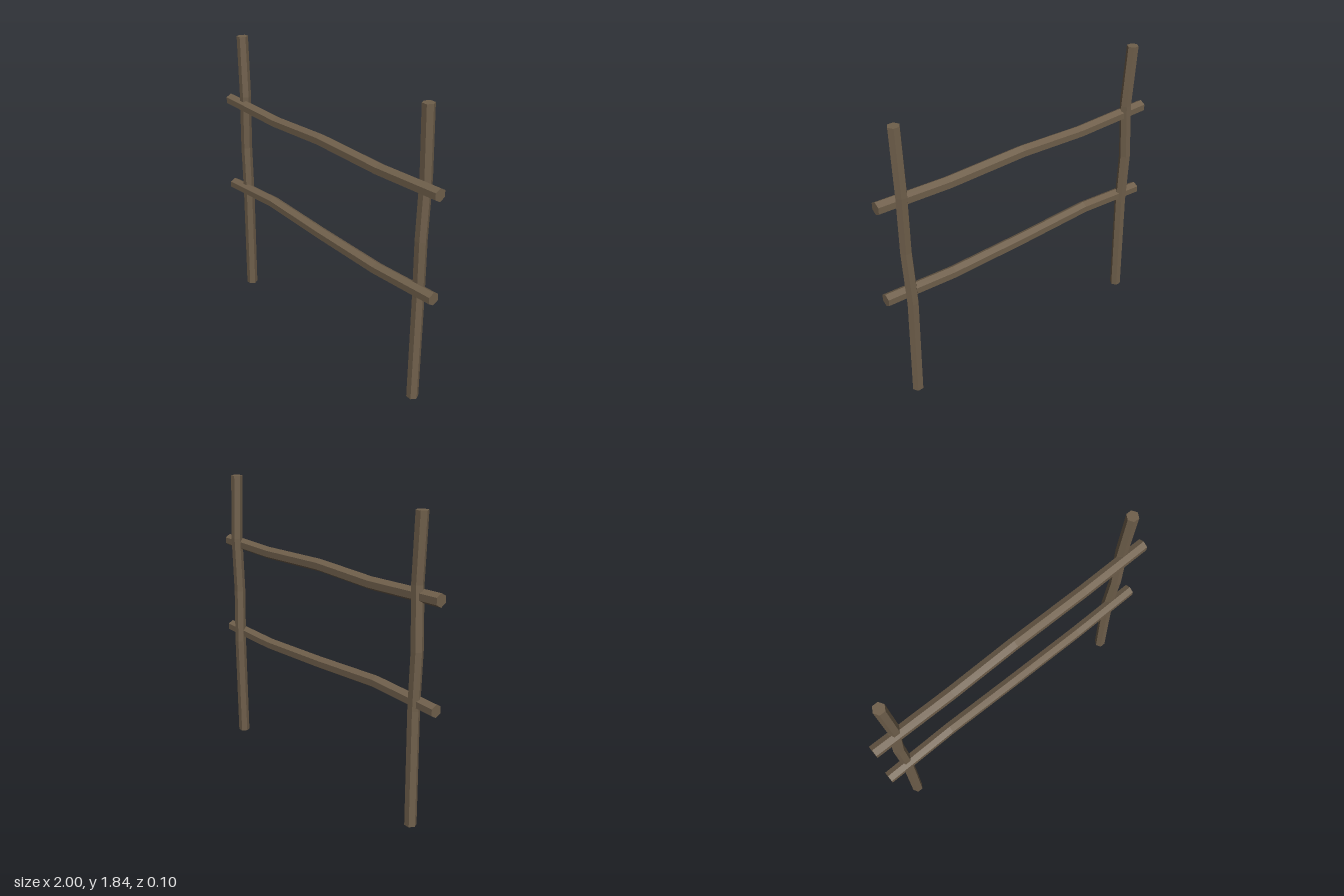
import * as THREE from 'three';

const wood = new THREE.MeshStandardMaterial({ color: 0x6f5f4b });
wood.name = 'weatheredWood';

// Crooked six-sided pole along y; each ring is [position along the pole, x, z]
function poleGeometry(radius, rings) {
  const n = rings.length - 1;
  const geo = new THREE.CylinderGeometry(radius, radius, n, 6, n);
  geo.rotateY(Math.PI / 6); // ridges on +x and -x, flats on +z and -z
  const pos = geo.attributes.position;
  for (let i = 0; i < pos.count; i++) {
    const [along, x, z] = rings[Math.round(pos.getY(i) + n / 2)];
    pos.setXYZ(i, pos.getX(i) + x, along, pos.getZ(i) + z);
  }
  // Separate faces give hard, hewn edges
  const flat = geo.toNonIndexed();
  flat.computeVertexNormals();
  return flat;
}

function addPart(group, name, geometry) {
  const mesh = new THREE.Mesh(geometry, wood);
  mesh.name = name;
  group.add(mesh);
}

// Rail running along x; points are [x, y]
function railGeometry(points) {
  const rings = points.map(([x, y]) => [x, -y, 0.018]);
  return poleGeometry(0.04, rings).rotateZ(-Math.PI / 2);
}

export function createModel() {
  const group = new THREE.Group();
  group.name = 'fence';

  // Upright posts
  addPart(group, 'rightPost', poleGeometry(0.037, [
    [0, -0.861, -0.004], [0.72, -0.85, -0.002], [1.07, -0.861, -0.004],
    [1.44, -0.841, 0.002], [1.84, -0.861, -0.005],
  ]));
  addPart(group, 'leftPost', poleGeometry(0.037, [
    [0, 0.857, -0.005], [0.69, 0.846, -0.02], [1.05, 0.855, -0.008],
    [1.42, 0.857, -0.018], [1.84, 0.857, -0.005],
  ]));

  // Horizontal rails, set just in front of the posts' centres
  addPart(group, 'upperRail', railGeometry([
    [-1, 1.381], [-0.46, 1.365], [0, 1.383], [0.53, 1.368], [1, 1.381],
  ]));
  addPart(group, 'lowerRail', railGeometry([
    [-1, 0.755], [-0.52, 0.781], [0, 0.755], [0.53, 0.738], [1, 0.755],
  ]));

  return group;
}
